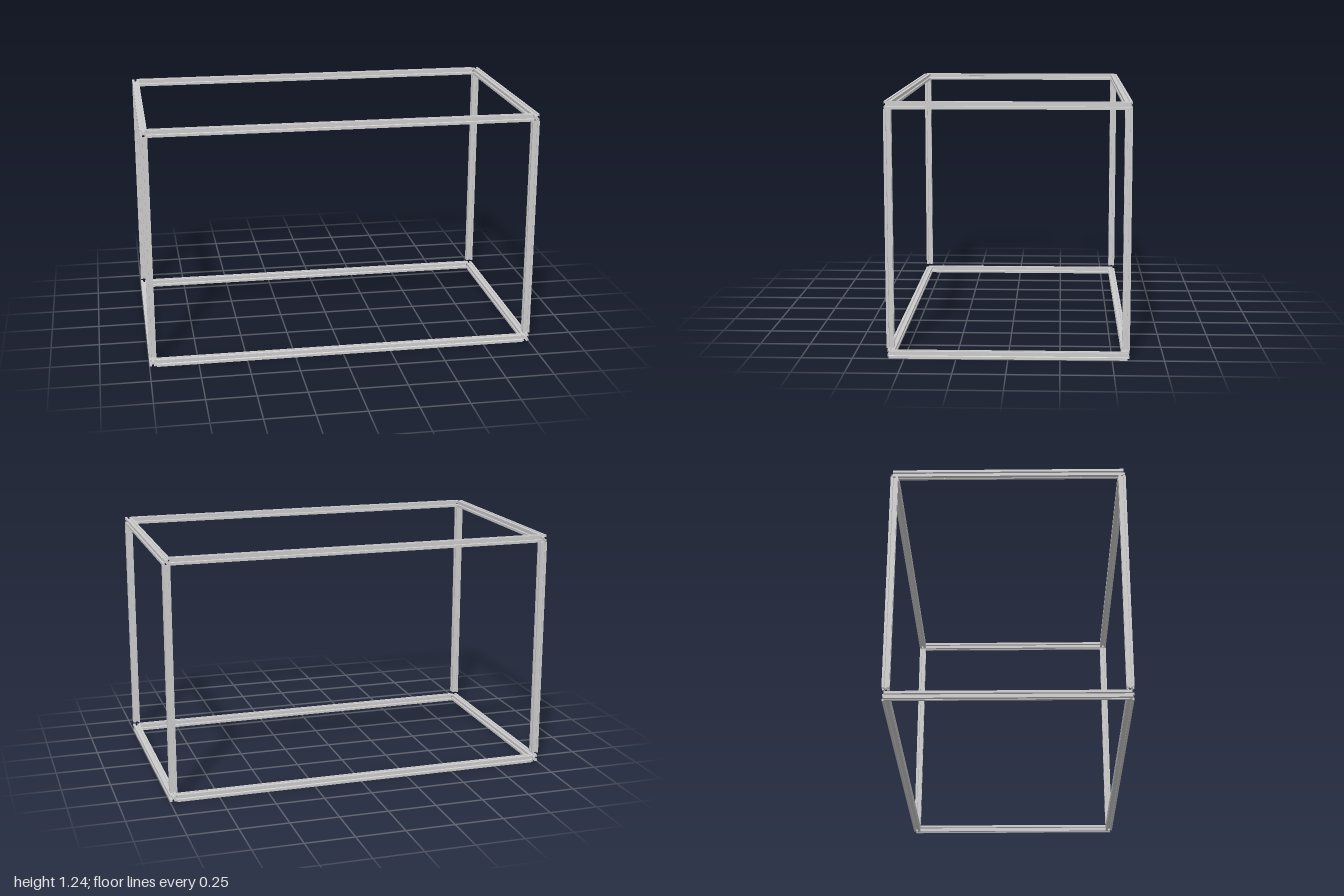
import * as THREE from 'three';

const W = 0.036; // bar width
const HALF_X = 1, HALF_Z = 0.584, HEIGHT = 1.239;

// Slotted square bar section: one side's slot, repeated four times round the centre
function barSection() {
  const h = W / 2;
  const half = [[0.0055, h], [0.0055, h - 0.003], [0.0105, h - 0.003], [0.0105, 0.013], [0.0045, 0.0065]];
  const side = [[h, h], ...half, ...half.map(([x, y]) => [-x, y]).reverse()];
  const points = [];
  for (let k = 0; k < 4; k++) {
    for (const [x, y] of side) {
      points.push(new THREE.Vector2(x, y).rotateAround(new THREE.Vector2(), k * Math.PI / 2));
    }
  }
  const shape = new THREE.Shape(points);
  const bore = new THREE.Path();
  bore.absarc(0, 0, 0.0032, 0, Math.PI * 2, true);
  shape.holes.push(bore);
  return shape;
}

export function createModel() {
  const group = new THREE.Group();
  const material = new THREE.MeshStandardMaterial({ color: 0xcccccc });
  const section = barSection();

  // A bar of given length, centred and laid along the chosen axis
  const barGeometry = (length, axis) => {
    const g = new THREE.ExtrudeGeometry(section, { depth: length, bevelEnabled: false, curveSegments: 4 });
    g.translate(0, 0, -length / 2);
    if (axis === 'x') g.rotateY(Math.PI / 2);
    if (axis === 'y') g.rotateX(Math.PI / 2);
    return g;
  };
  const add = (name, geometry, x, y, z) => {
    const mesh = new THREE.Mesh(geometry, material);
    mesh.name = name;
    mesh.position.set(x, y, z);
    group.add(mesh);
  };

  const postBottom = 0.052, postTop = HEIGHT - W;
  const longRail = barGeometry(2 * (HALF_X - W), 'x');
  const sideRail = barGeometry(2 * 0.574, 'z');
  const post = barGeometry(postTop - postBottom, 'y');
  const cx = HALF_X - W / 2, cz = HALF_Z - W / 2;

  for (const s of [-1, 1]) {
    const sideName = s > 0 ? 'left' : 'right';
    const endName = s > 0 ? 'front' : 'back';
    // Horizontal rails of the lower and upper rectangles
    for (const [level, y] of [['Lower', W / 2], ['Upper', HEIGHT - W / 2]]) {
      add(`${endName}${level}Rail`, longRail, 0, y, s * cz);
      add(`${sideName}${level}Rail`, sideRail, s * cx, y, 0);
    }
    // Corner posts, with a small gap above the lower rails
    for (const t of [-1, 1]) {
      add(`${sideName}${t > 0 ? 'Front' : 'Back'}Post`, post, s * cx, (postBottom + postTop) / 2, t * cz);
    }
  }
  return group;
}
